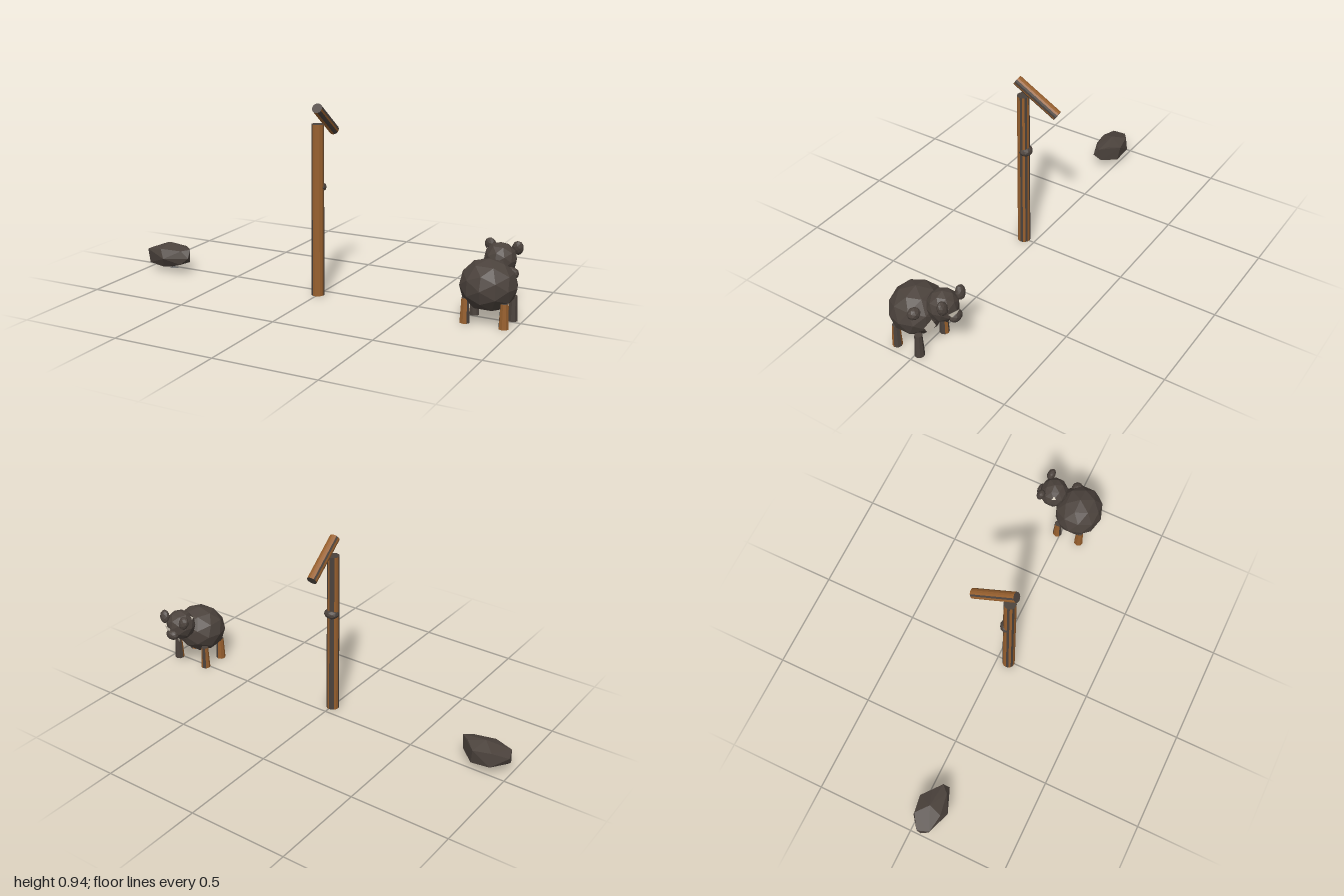
import * as THREE from 'three';
import { ConvexGeometry } from 'three/addons/geometries/ConvexGeometry.js';

const flat = (color, name) => {
  const m = new THREE.MeshStandardMaterial({ color, flatShading: true });
  m.name = name;
  return m;
};

export function createModel() {
  const dark = flat(0x4b423c, 'darkBrown');
  const wood = flat(0x98602e, 'warmWood');
  const cream = flat(0xd3cabb, 'cream');
  const slate = flat(0x6f7787, 'slate');
  const model = new THREE.Group();

  const add = (parent, name, geometry, material) => {
    const mesh = new THREE.Mesh(geometry, material);
    mesh.name = name;
    parent.add(mesh);
    return mesh;
  };

  // Faceted ellipsoid
  const blob = (parent, name, pos, radii) => {
    const mesh = add(parent, name, new THREE.IcosahedronGeometry(1, 1).scale(...radii), dark);
    mesh.position.set(...pos);
    return mesh;
  };

  // Flat bare patch with a few corners, facing along dir
  const patch = (parent, name, pos, dir, sides, width, height, roll, material) => {
    const g = new THREE.CircleGeometry(1, sides, Math.PI / 2).scale(width, height, 1);
    const mesh = add(parent, name, g, material);
    mesh.position.set(...pos);
    mesh.lookAt(new THREE.Vector3(...dir).add(mesh.position));
    mesh.rotateZ(roll);
  };

  // Log between two points; one letter per side: D dark bark, O bare wood
  const log = (parent, name, from, to, rFrom, rTo, pattern) => {
    const a = new THREE.Vector3(...from), b = new THREE.Vector3(...to);
    const axis = b.clone().sub(a);
    const n = pattern.length;
    const g = new THREE.CylinderGeometry(rTo, rFrom, axis.length(), n);
    g.clearGroups();
    for (let i = 0; i < n; i++) g.addGroup(i * 6, 6, pattern[i] === 'O' ? 1 : 0);
    g.addGroup(n * 6, n * 6, 0);
    const mesh = add(parent, name, g, [dark, wood]);
    mesh.position.copy(a).add(b).multiplyScalar(0.5);
    mesh.quaternion.setFromUnitVectors(new THREE.Vector3(0, 1, 0), axis.normalize());
  };

  // Rock with a small bare patch underneath
  const rockPoints = [
    [-1, 0.105, 0.04], [-1, 0.075, 0.06], [-0.98, 0.115, 0.1], [-0.975, 0.04, 0.09],
    [-0.93, 0.13, -0.005], [-0.93, 0.06, -0.015], [-0.87, 0.153, 0.05], [-0.84, 0.12, -0.02],
    [-0.83, 0.045, -0.01], [-0.87, 0.02, 0.05], [-0.89, 0.13, 0.115], [-0.86, 0.085, 0.138],
    [-0.88, 0.035, 0.11], [-0.78, 0.125, 0.095], [-0.745, 0.13, 0.06], [-0.74, 0.09, 0.09],
    [-0.755, 0.06, 0.05], [-0.78, 0.055, 0.1], [-0.79, 0.135, 0.025],
  ].map((v) => new THREE.Vector3(...v));
  add(model, 'rock', new ConvexGeometry(rockPoints), dark);
  patch(model, 'rockPatch', [-0.826, 0.034, 0.092], [0.21, -0.9, 0.38], 3, 0.03, 0.024, 0, slate);

  // Post with a knot and a tilted loose beam on top
  const sign = new THREE.Group();
  sign.name = 'signpost';
  model.add(sign);
  log(sign, 'post', [-0.003, 0.005, 0.06], [-0.003, 0.843, 0.06], 0.032, 0.03, 'OOOODODODDOODODO');
  blob(sign, 'knot', [-0.003, 0.54, 0.047], [0.038, 0.026, 0.033]);
  log(sign, 'beam', [-0.011, 0.787, -0.122], [0.008, 0.922, 0.087], 0.025, 0.025, 'ODDODDOOOODOODOO');

  // Woolly animal facing backwards
  const animal = new THREE.Group();
  animal.name = 'animal';
  model.add(animal);
  blob(animal, 'body', [0.862, 0.185, 0.058], [0.135, 0.122, 0.126]);
  blob(animal, 'woolTuft', [0.949, 0.235, 0.005], [0.035, 0.03, 0.03]);
  patch(animal, 'chestPatch', [0.921, 0.166, -0.058], [0.46, -0.14, -0.87], 4, 0.029, 0.045, -0.15, cream);
  blob(animal, 'head', [0.863, 0.267, -0.09], [0.077, 0.079, 0.074]);
  patch(animal, 'facePatch', [0.886, 0.264, -0.165], [0.32, -0.05, -0.95], 3, 0.034, 0.026, Math.PI, cream);
  patch(animal, 'templePatch', [0.804, 0.314, -0.067], [-0.75, 0.6, 0.3], 3, 0.014, 0.014, 0, cream);
  blob(animal, 'snout', [0.863, 0.236, -0.158], [0.037, 0.028, 0.025]);
  for (const side of [-1, 1]) {
    const ear = blob(animal, 'ear', [0.863 + side * 0.065, 0.314, -0.138], [0.028, 0.036, 0.021]);
    ear.rotation.set(0.25, 0, -side * 0.2);
  }

  // Legs, flared towards the ground
  const patterns = ['ODODOOOO', 'OODDODDO', 'DDDODOOD', 'DDDDDDOD'];
  let n = 0;
  for (const z of [0.108, -0.017])
    for (const x of [0.772, 0.956])
      log(animal, 'leg', [x, 0.008, z], [x, 0.125, z], 0.024, 0.018, patterns[n++]);

  return model;
}
